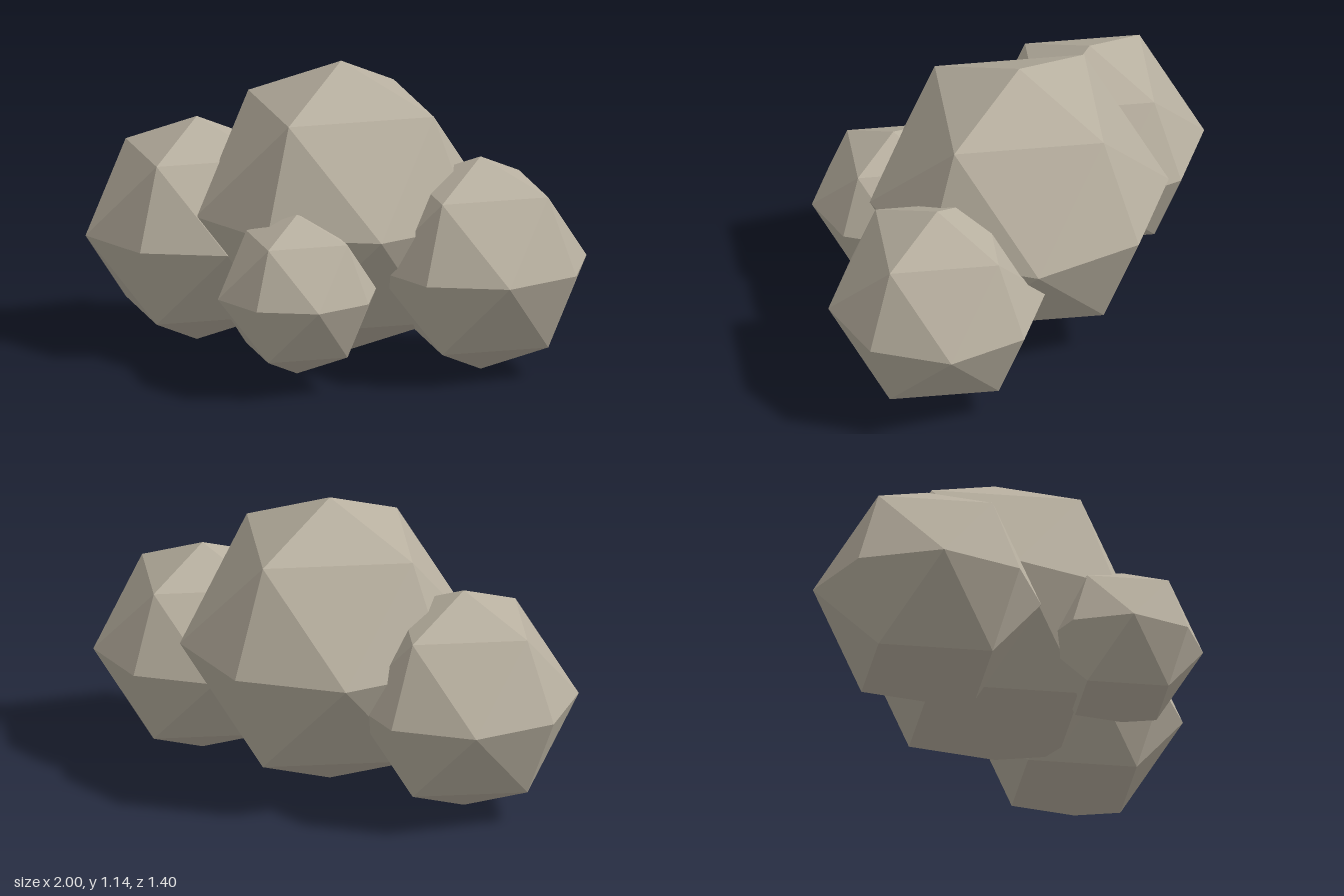
import * as THREE from 'three';

export function createModel() {
  const group = new THREE.Group();
  group.name = 'boulderCluster';

  const stone = new THREE.MeshStandardMaterial({ color: 0xb8b0a0, flatShading: true });
  stone.name = 'warm grey stone';

  // Faceted boulders: name, radius, centre
  const boulders = [
    ['mainBoulder', 0.571, [0.007, 0.574, -0.132]],
    ['rightBoulder', 0.437, [-0.563, 0.44, -0.03]],
    ['leftBoulder', 0.416, [0.584, 0.418, -0.184]],
    ['frontBoulder', 0.311, [0.11, 0.366, 0.39]],
  ];

  for (const [name, radius, centre] of boulders) {
    const boulder = new THREE.Mesh(new THREE.OctahedronGeometry(radius, 1), stone);
    boulder.name = name;
    boulder.position.set(...centre);
    group.add(boulder);
  }

  return group;
}
